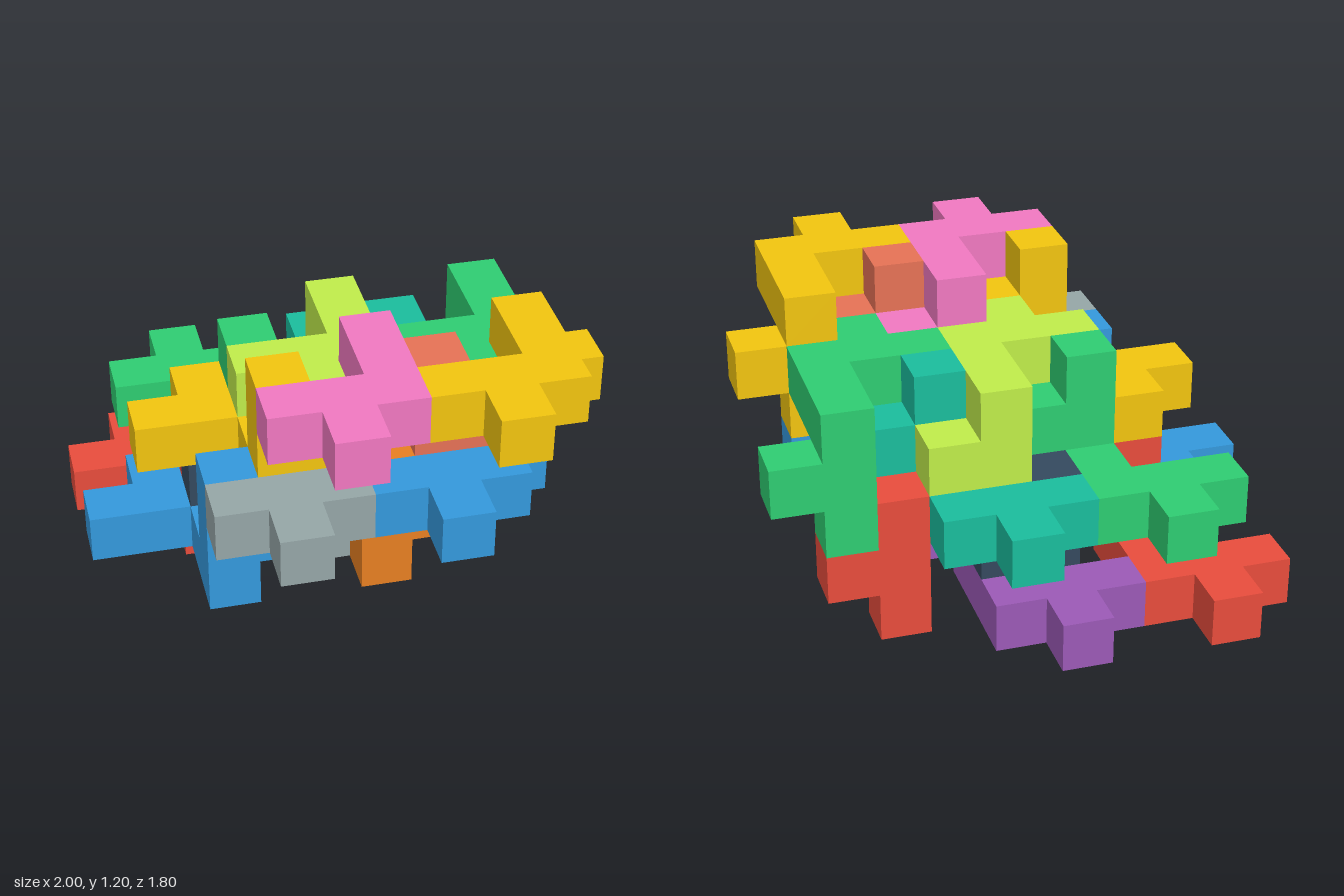
import * as THREE from 'three';
import { mergeGeometries } from 'three/addons/utils/BufferGeometryUtils.js';

const CELL = 0.2;

// One-cell-thick slab from an outline given in cell units
function slab(points) {
  const shape = new THREE.Shape(points.map(([x, y]) => new THREE.Vector2(x, y)));
  return new THREE.ExtrudeGeometry(shape, { depth: 1, bevelEnabled: false });
}

// Interlocking piece: a flat plate with three arms and a hanging T, origin at the plate's hub cell
function pieceGeometry() {
  const plate = slab([
    [-1.5, -0.5], [-0.5, -0.5], [-0.5, -1.5], [0.5, -1.5], [0.5, -0.5],
    [1.5, -0.5], [1.5, 1.5], [0.5, 1.5], [0.5, 0.5], [-1.5, 0.5],
  ]).rotateX(-Math.PI / 2).translate(0, -0.5, 0);
  const hangingT = slab([
    [0.5, 0.5], [0.5, -2.5], [1.5, -2.5], [1.5, -1.5],
    [2.5, -1.5], [2.5, -0.5], [1.5, -0.5], [1.5, 0.5],
  ]).translate(0, 0, -2.5);
  return mergeGeometries([plate, hangingT]).scale(CELL, CELL, CELL);
}

const COLORS = {
  red: 0xe74c3c, yellow: 0xf1c40f, green: 0x2ecc71, blue: 0x3498db,
  purple: 0x9b59b6, teal: 0x1abc9c, orange: 0xe67e22, grey: 0x95a5a6,
  dark: 0x34495e, pink: 0xf078c0, lime: 0xbfec4a, salmon: 0xe57155,
};

// Hub cells [column, layer, row] of the pieces whose T hangs down
const HANGING = [
  ['pink', 4, 5, 7], ['yellow', 7, 5, 7],
  ['lime', 4, 4, 4], ['green', 7, 4, 4],
  ['grey', 3, 3, 7], ['blue', 6, 3, 7],
  ['dark', 3, 2, 4], ['red', 6, 2, 4],
];

// Hub cells of the pieces turned over, whose T stands up
const STANDING = [
  ['green', 2, 2, 1], ['teal', 5, 2, 1],
  ['yellow', 2, 3, 4], ['salmon', 5, 3, 4],
  ['blue', 1, 1, 4], ['orange', 4, 1, 4],
  ['red', 1, 0, 1], ['purple', 4, 0, 1],
];

export function createModel() {
  const model = new THREE.Group();
  model.name = 'interlockingBlocks';
  const geometry = pieceGeometry();
  const materials = {};
  for (const [name, color] of Object.entries(COLORS)) {
    materials[name] = new THREE.MeshStandardMaterial({ color });
  }

  const addPieces = (list, kind, turn) => {
    for (const [color, i, j, k] of list) {
      const piece = new THREE.Mesh(geometry, materials[color]);
      piece.name = `${color}${kind}Piece`;
      piece.position.set(-0.9 + CELL * i, 0.1 + CELL * j, -0.8 + CELL * k);
      piece.rotation.x = turn;
      model.add(piece);
    }
  };
  addPieces(HANGING, 'Hanging', 0);
  addPieces(STANDING, 'Standing', Math.PI);
  return model;
}
